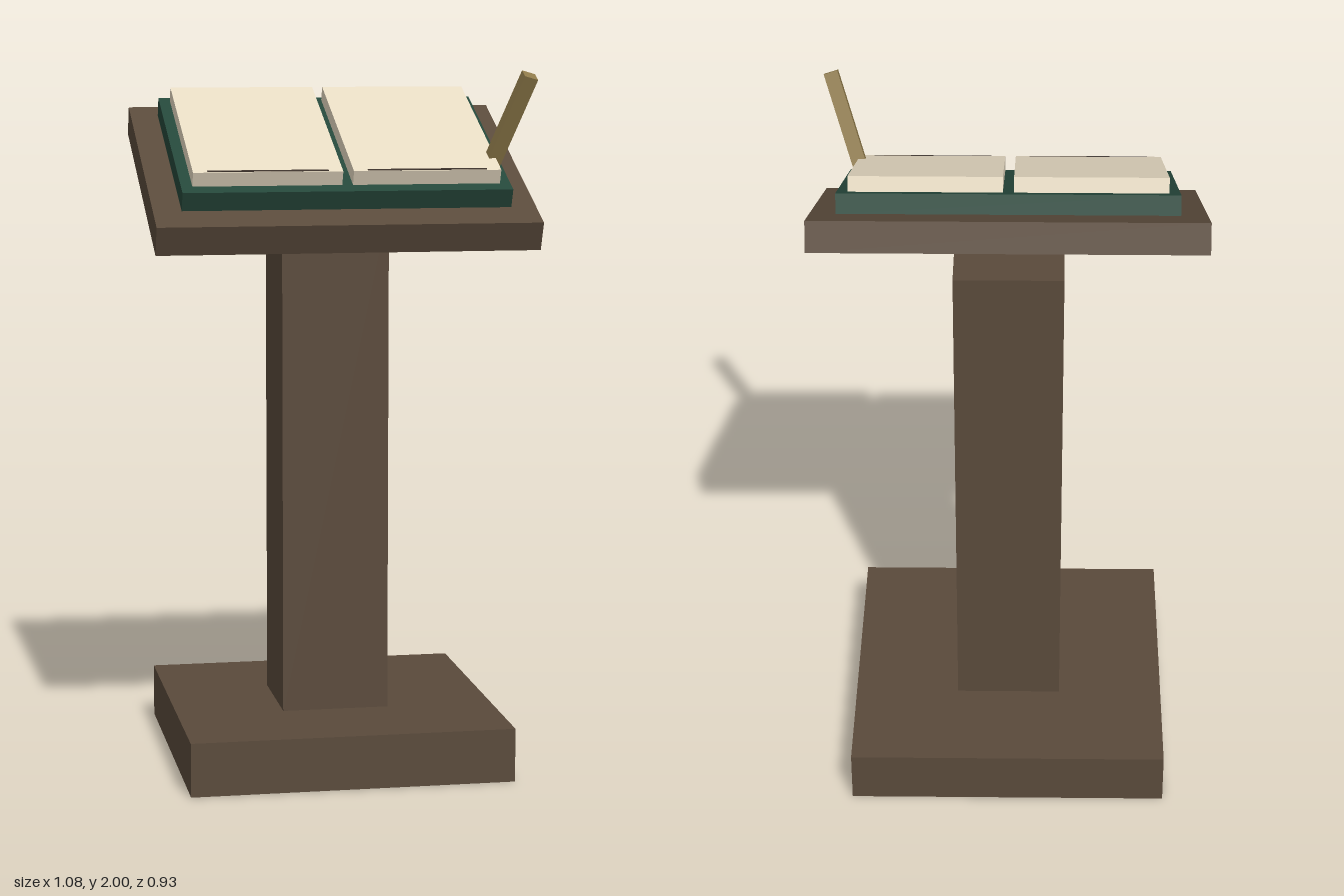
import * as THREE from 'three';

const material = (name, color) => {
  const m = new THREE.MeshStandardMaterial({ color });
  m.name = name;
  return m;
};

export function createModel() {
  const wood = material('dark wood', 0x5a4a3b);
  const green = material('green cover', 0x25473a);
  const paper = material('paper', 0xe6dac2);
  const ink = material('ink', 0x3a3029);
  const quillTan = material('quill tan', 0x8f7a4a);

  const model = new THREE.Group();
  model.name = 'lectern';

  const box = (parent, name, mat, size, pos) => {
    const mesh = new THREE.Mesh(new THREE.BoxGeometry(...size), mat);
    mesh.name = name;
    mesh.position.set(...pos);
    parent.add(mesh);
    return mesh;
  };

  // Stand
  box(model, 'base', wood, [0.926, 0.154, 0.926], [0, 0.077, 0]);
  box(model, 'column', wood, [0.308, 1.466, 0.308], [0, 0.887, 0]);

  // Sloping desk carrying the book and quill
  const desk = new THREE.Group();
  desk.name = 'slopingDesk';
  desk.position.set(0, 1.695, 0.0475);
  desk.rotation.x = 0.4;
  model.add(desk);
  box(desk, 'deskBoard', wood, [1.08, 0.086, 0.772], [0, 0, 0]);
  box(desk, 'bookCover', green, [0.926, 0.055, 0.616], [0, 0.08, 0]);

  // Two page blocks, each with a fine dark line along its front edge
  for (const [side, s] of [['left', 1], ['right', -1]]) {
    box(desk, side + 'Pages', paper, [0.417, 0.042, 0.558], [s * 0.2235, 0.1305, -0.006]);
    box(desk, side + 'PageLine', ink, [0.337, 0.004, 0.008], [s * 0.2235, 0.1505, 0.266]);
  }

  // Quill leaning outwards
  const quill = box(desk, 'quill', quillTan, [0.04, 0.29, 0.04], [0.466, 0.257, 0.18]);
  quill.rotation.z = -0.3;

  return model;
}
